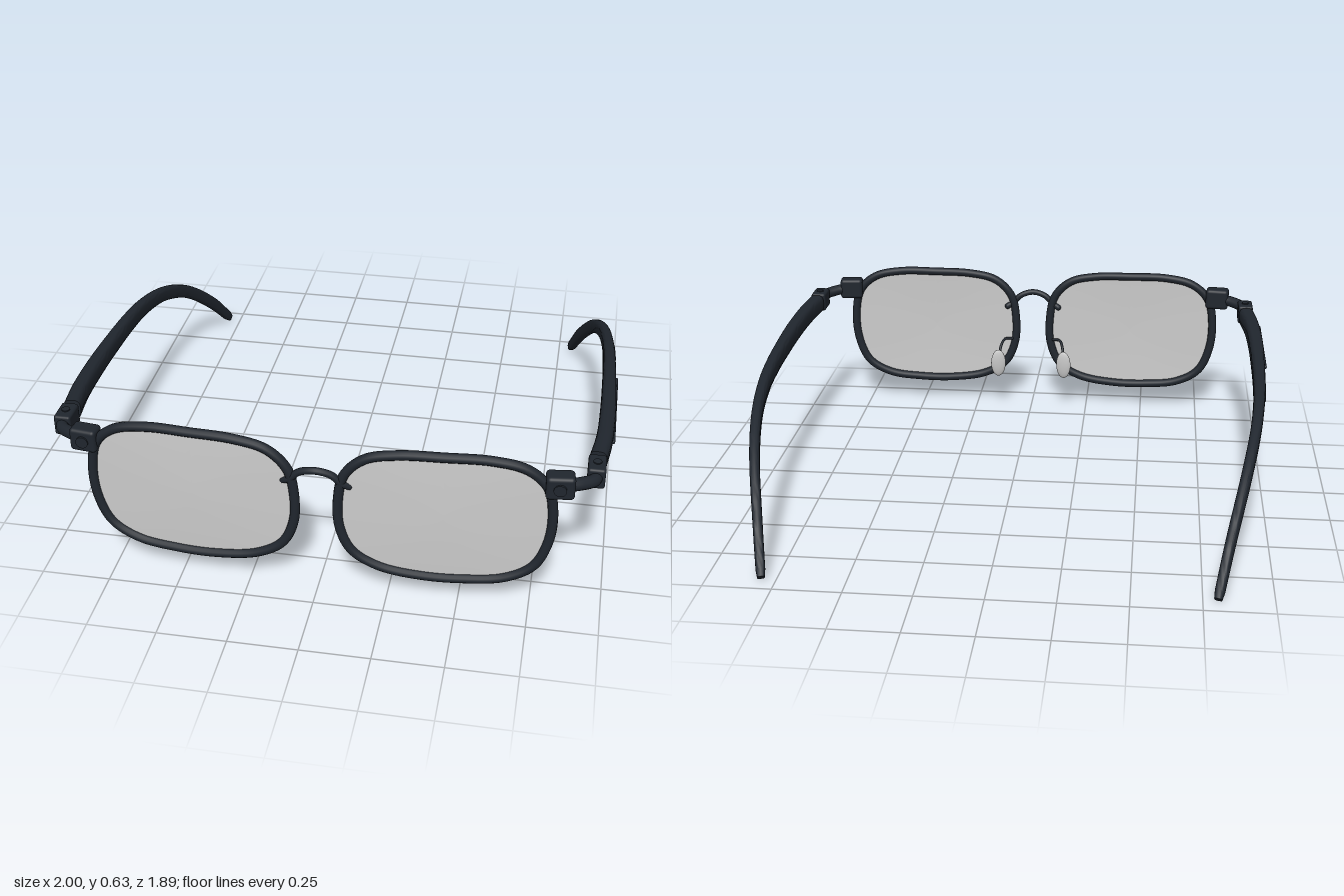
import * as THREE from 'three';
import { toCreasedNormals } from 'three/addons/utils/BufferGeometryUtils.js';
import { RoundedBoxGeometry } from 'three/addons/geometries/RoundedBoxGeometry.js';

const dark = new THREE.MeshStandardMaterial({ color: 0x20262e });
const grey = new THREE.MeshStandardMaterial({ color: 0xcccccc });
const glass = new THREE.MeshStandardMaterial({ color: 0xcccccc, side: THREE.DoubleSide });

// Outline of one lens (x, y), counted from the top middle towards the temple
const OUTLINE = [
  [0.44, 0.628], [0.6, 0.628], [0.715, 0.603], [0.785, 0.54], [0.81, 0.43], [0.8, 0.3],
  [0.755, 0.2], [0.66, 0.143], [0.52, 0.123], [0.37, 0.122], [0.22, 0.147], [0.125, 0.205],
  [0.082, 0.3], [0.077, 0.42], [0.1, 0.525], [0.17, 0.595], [0.28, 0.622],
];
// The front wraps gently backwards towards the temples
const frontZ = (x) => 0.914 - 0.045 * x * x;

// Temple stations: x, y, z, half width, half height
const TEMPLE = [
  [0.945, 0.528, 0.69, 0.031, 0.038], [0.962, 0.521, 0.55, 0.03, 0.039],
  [0.969, 0.514, 0.35, 0.029, 0.038], [0.967, 0.506, 0.15, 0.026, 0.038],
  [0.963, 0.495, -0.03, 0.024, 0.036], [0.955, 0.475, -0.2, 0.022, 0.033],
  [0.934, 0.428, -0.4, 0.02, 0.03], [0.896, 0.337, -0.6, 0.019, 0.028],
  [0.842, 0.178, -0.8, 0.018, 0.026], [0.802, 0.03, -0.94, 0.017, 0.02],
];

function add(parent, name, geometry, material, x = 0, y = 0, z = 0) {
  const mesh = new THREE.Mesh(geometry, material);
  mesh.name = name;
  mesh.position.set(x, y, z);
  parent.add(mesh);
  return mesh;
}

function tube(points, radius, segments = 24, closed = false) {
  const curve = new THREE.CatmullRomCurve3(points.map((p) => new THREE.Vector3(...p)), closed);
  return new THREE.TubeGeometry(curve, segments, radius, 12, closed);
}

// Thin lens: concentric rings inside the outline, pushed slightly backwards at the edge
function lensGeometry(s) {
  const curve = new THREE.CatmullRomCurve3(OUTLINE.map(([x, y]) => new THREE.Vector3(x, y, 0)), true);
  const n = 80, radii = [0, 0.35, 0.7, 0.93, 1], pos = [], index = [];
  const edge = curve.getSpacedPoints(n);
  radii.forEach((r, i) => {
    for (let j = 0; j <= n; j++) {
      const x = 0.442 + (edge[j].x - 0.442) * r, y = 0.375 + (edge[j].y - 0.375) * r;
      pos.push(s * x, y, frontZ(x) + 0.006 * (1 - r * r));
      if (i && j < n) {
        const a = (i - 1) * (n + 1) + j, b = a + n + 1;
        const quad = [a, a + 1, b, a + 1, b + 1, b];
        index.push(...(s > 0 ? quad : quad.reverse()));
      }
    }
  });
  const g = new THREE.BufferGeometry();
  g.setAttribute('position', new THREE.Float32BufferAttribute(pos, 3));
  g.setIndex(index);
  g.computeVertexNormals();
  return g;
}

// Temple: rounded-rectangle sections swept along the arm, closed at both ends
function templeGeometry(s) {
  const path = new THREE.CatmullRomCurve3(TEMPLE.map(([x, y, z]) => new THREE.Vector3(s * x, y, z)));
  const rows = 64, n = 20, pos = [], index = [];
  const round = (v) => Math.sign(v) * Math.abs(v) ** 0.62;
  for (let i = 0; i <= rows; i++) {
    const t = i / rows, k = t * (TEMPLE.length - 1);
    const lo = Math.min(Math.floor(k), TEMPLE.length - 2), f = k - lo;
    const size = (c) => THREE.MathUtils.lerp(TEMPLE[lo][c], TEMPLE[lo + 1][c], f) * (i === rows ? 0.8 : 1);
    const p = path.getPoint(t), tangent = path.getTangent(t);
    const side = new THREE.Vector3(0, 1, 0).cross(tangent).normalize();
    const up = tangent.clone().cross(side);
    for (let j = 0; j < n; j++) {
      const a = (j / n) * Math.PI * 2;
      const v = p.clone().addScaledVector(side, size(3) * round(Math.cos(a)))
        .addScaledVector(up, size(4) * round(Math.sin(a)));
      pos.push(v.x, v.y, v.z);
      const q = i * n + j, r = i * n + (j + 1) % n;
      if (i < rows) index.push(q, r, q + n, r, r + n, q + n);
    }
  }
  for (let j = 1; j < n - 1; j++) {
    const e = rows * n;
    index.push(0, j + 1, j, e, e + j, e + j + 1);
  }
  const g = new THREE.BufferGeometry();
  g.setAttribute('position', new THREE.Float32BufferAttribute(pos, 3));
  g.setIndex(index);
  return toCreasedNormals(g, 0.8);
}

function createSide(s) {
  const side = new THREE.Group();
  side.name = s > 0 ? 'leftSide' : 'rightSide';

  add(side, 'rim', tube(OUTLINE.map(([x, y]) => [s * x, y, frontZ(x)]), 0.0175, 120, true), dark);
  add(side, 'lens', lensGeometry(s), glass);

  // Nose pad on its bent wire
  add(side, 'nosePadWire', tube([[s * 0.09, 0.32, 0.905], [s * 0.125, 0.322, 0.885],
    [s * 0.14, 0.3, 0.85], [s * 0.147, 0.25, 0.822]], 0.006), dark);
  const pad = add(side, 'nosePad', new THREE.SphereGeometry(1, 24, 16), grey, s * 0.148, 0.232, 0.811);
  pad.scale.set(0.033, 0.064, 0.013);
  pad.rotation.set(-0.08, s * 0.15, 0);

  // End piece with a screw in front, and the bent link to the hinge
  const end = add(side, 'endPiece', new RoundedBoxGeometry(0.098, 0.088, 0.066, 3, 0.014), dark, s * 0.826, 0.548, 0.88);
  end.rotation.y = s * 0.12;
  const screw = add(side, 'endScrew', new THREE.CylinderGeometry(0.022, 0.022, 0.012, 20), dark, s * 0.828, 0.548, 0.914);
  screw.rotation.x = Math.PI / 2;
  add(side, 'hingeLink', tube([[s * 0.85, 0.545, 0.875], [s * 0.895, 0.54, 0.85],
    [s * 0.935, 0.533, 0.815], [s * 0.945, 0.53, 0.78]], 0.023), dark);

  // Hinge block with a pin through it
  add(side, 'hingeBlock', new RoundedBoxGeometry(0.062, 0.078, 0.1, 3, 0.01), dark, s * 0.943, 0.528, 0.752);
  add(side, 'hingePin', new THREE.CylinderGeometry(0.015, 0.015, 0.086, 16), dark, s * 0.943, 0.528, 0.752);

  // Temple arm with two slim inlays on its outer face
  add(side, 'temple', templeGeometry(s), dark);
  const inlay = add(side, 'longInlay', new RoundedBoxGeometry(0.012, 0.014, 0.46, 2, 0.005), dark, s * 0.994, 0.515, 0.33);
  inlay.rotation.x = -0.035;
  const short = add(side, 'shortInlay', new RoundedBoxGeometry(0.012, 0.024, 0.12, 2, 0.005), dark, s * 0.979, 0.485, -0.12);
  short.rotation.set(-0.11, s * 0.05, 0);
  return side;
}

export function createModel() {
  const model = new THREE.Group();
  model.name = 'eyeglasses';
  model.add(createSide(1), createSide(-1));

  // Arched bridge joining the two rims
  add(model, 'bridge', tube([[-0.115, 0.473, 0.908], [-0.092, 0.487, 0.917], [-0.055, 0.522, 0.922], [0, 0.537, 0.928],
    [0.055, 0.522, 0.922], [0.092, 0.487, 0.917], [0.115, 0.473, 0.908]], 0.013, 40), dark);
  for (const s of [-1, 1]) add(model, 'bridgeTip', new THREE.SphereGeometry(0.013, 12, 8), dark, s * 0.115, 0.473, 0.908);
  return model;
}
